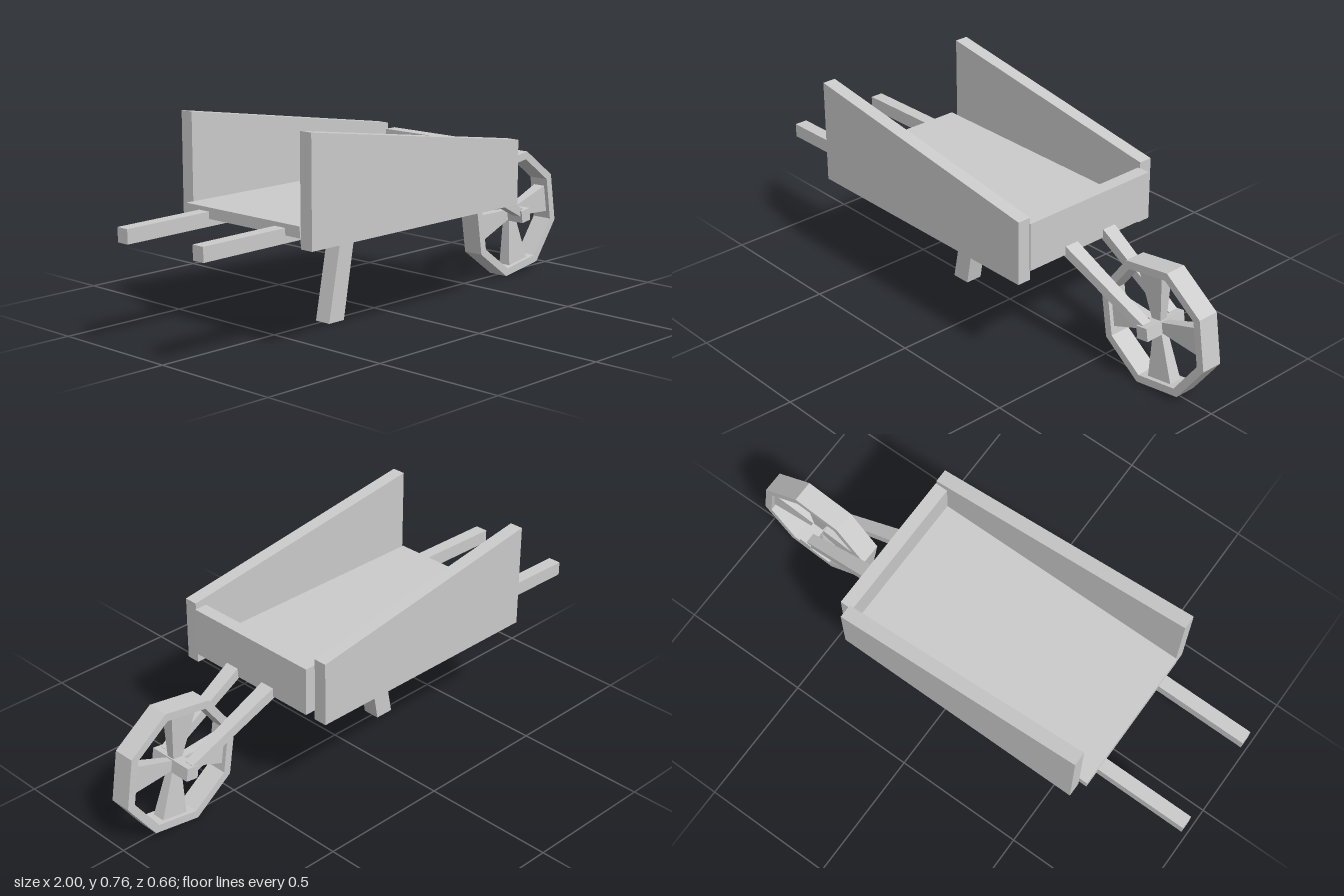
import * as THREE from 'three';

const material = new THREE.MeshStandardMaterial({ color: 0xcccccc, flatShading: true });

function addMesh(parent, name, geometry) {
  const mesh = new THREE.Mesh(geometry, material);
  mesh.name = name;
  parent.add(mesh);
  return mesh;
}

// Plain box given by its minimum and maximum corners
function box(parent, name, min, max) {
  const geo = new THREE.BoxGeometry(max[0] - min[0], max[1] - min[1], max[2] - min[2]);
  geo.translate((min[0] + max[0]) / 2, (min[1] + max[1]) / 2, (min[2] + max[2]) / 2);
  return addMesh(parent, name, geo);
}

// Four-sided beam between two sections along an axis (0 = x, 1 = y).
// Each section has a centre c and half sizes h; `low` is the end with the smaller coordinate.
function beam(parent, name, axis, low, high) {
  const geo = new THREE.BoxGeometry(2, 2, 2);
  const pos = geo.attributes.position;
  for (let i = 0; i < pos.count; i++) {
    const corner = [pos.getX(i), pos.getY(i), pos.getZ(i)];
    const end = corner[axis] < 0 ? low : high;
    const p = corner.map((s, k) => end.c[k] + s * end.h[k]);
    pos.setXYZ(i, p[0], p[1], p[2]);
  }
  geo.computeVertexNormals();
  return addMesh(parent, name, geo);
}

function octagon(path, radius) {
  for (let i = 0; i < 8; i++) {
    const a = (i * Math.PI) / 4;
    const x = radius * Math.cos(a), y = radius * Math.sin(a);
    if (i === 0) path.moveTo(x, y);
    else path.lineTo(x, y);
  }
  path.closePath();
  return path;
}

function createWheel() {
  const wheel = new THREE.Group();
  wheel.name = 'wheel';

  // Eight-sided rim
  const shape = octagon(new THREE.Shape(), 0.246);
  shape.holes.push(octagon(new THREE.Path(), 0.215));
  const rim = new THREE.ExtrudeGeometry(shape, { depth: 0.082, bevelEnabled: false });
  rim.translate(0, 0, -0.041);
  addMesh(wheel, 'rim', rim);

  // Four spokes that widen towards the middle of every second rim side
  for (let i = 0; i < 4; i++) {
    const spoke = beam(wheel, 'spoke', 0,
      { c: [0.025, 0, 0], h: [0, 0.02, 0.015] },
      { c: [0.202, 0, 0], h: [0, 0.053, 0.025] });
    spoke.rotation.z = Math.PI / 8 + (i * Math.PI) / 2;
  }
  wheel.position.set(0.756, 0.243, 0.006);
  wheel.rotation.z = -0.239;
  return wheel;
}

export function createModel() {
  const model = new THREE.Group();
  model.name = 'wheelbarrow';

  // Tray: floor, front board and sloping side boards
  box(model, 'floor', [-0.645, 0.41, -0.28], [0.365, 0.45, 0.28]);
  beam(model, 'frontBoard', 1,
    { c: [0.387, 0.41, 0], h: [0.025, 0, 0.281] },
    { c: [0.385, 0.588, 0], h: [0.025, 0, 0.281] });
  for (const [name, x0, x1, z] of [
    ['leftBoard', -0.64, 0.407, 0.305],
    ['rightBoard', -0.613, 0.37, -0.305],
  ]) {
    beam(model, name, 0,
      { c: [x0, 0.568, z], h: [0, 0.195, 0.026] },
      { c: [x1, 0.492, z], h: [0, 0.119, 0.026] });
  }

  for (const side of [1, -1]) {
    // Handles rise slightly into the floor
    beam(model, 'handle', 0,
      { c: [-1, 0.405, side * 0.187], h: [0, 0.026, 0.025] },
      { c: [-0.48, 0.411, side * 0.187], h: [0, 0.026, 0.025] });
    // Struts converge from the tray to the axle
    beam(model, 'wheelStrut', 0,
      { c: [0.38, 0.437, side * 0.092], h: [0, 0.021, 0.029] },
      { c: [0.75, 0.25, side * 0.063], h: [0, 0.018, 0.02] });
  }

  // Single slanted leg
  beam(model, 'leg', 1,
    { c: [-0.233, 0.003, 0.005], h: [0.037, 0, 0.033] },
    { c: [-0.155, 0.415, 0.005], h: [0.034, 0, 0.033] });

  // Axle and wheel
  const axle = addMesh(model, 'axle', new THREE.BoxGeometry(0.048, 0.048, 0.181));
  axle.position.set(0.756, 0.243, 0.002);
  axle.rotation.z = 0.15;
  model.add(createWheel());

  return model;
}
